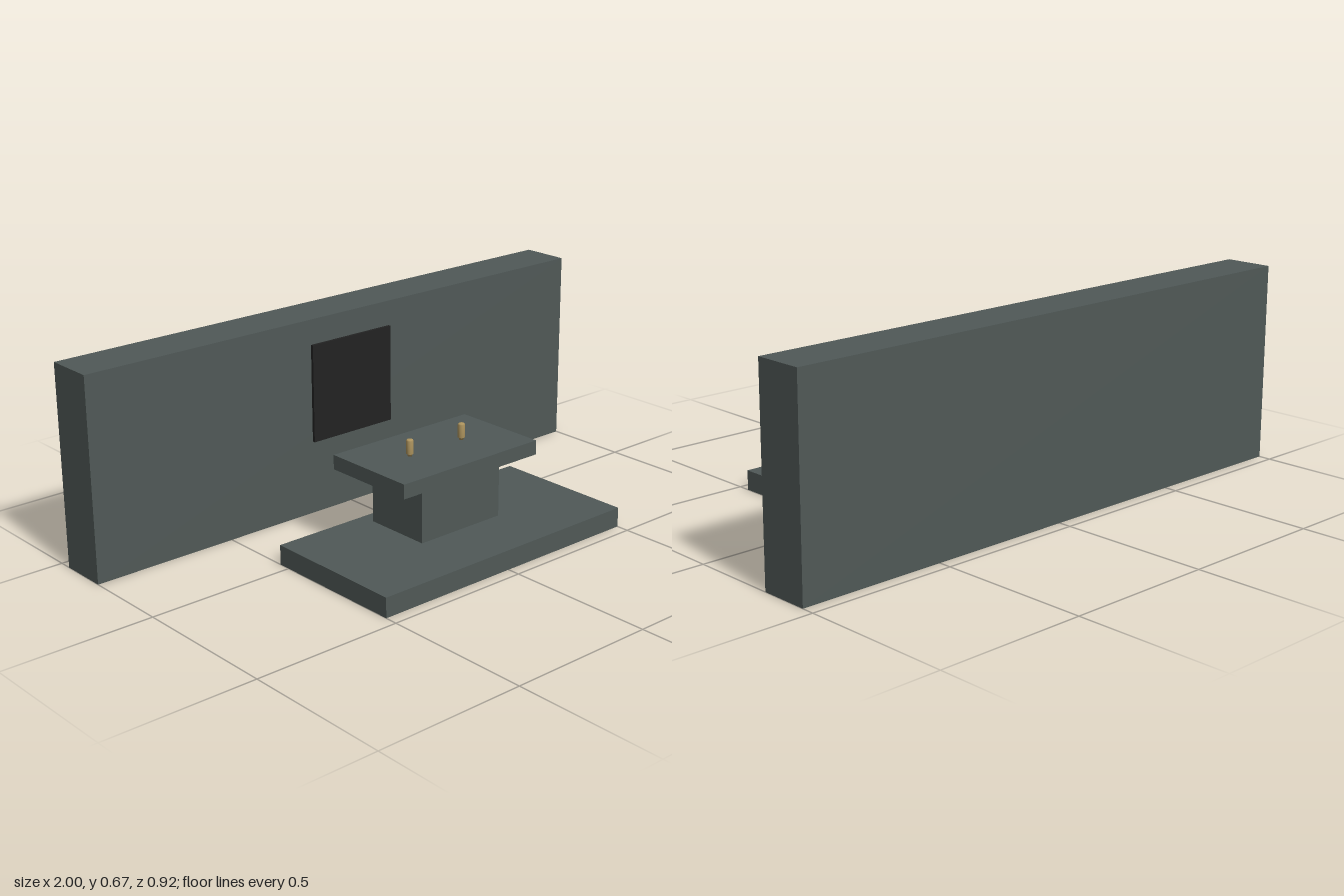
import * as THREE from 'three';

const material = (name, color) => {
  const m = new THREE.MeshStandardMaterial({ color });
  m.name = name;
  return m;
};

export function createModel() {
  const model = new THREE.Group();
  model.name = 'deskAndWall';
  const slate = material('slate', 0x505957);
  const black = material('black', 0x222222);
  const brass = material('brass', 0xb0965f);

  // Box given by its full width and its y and z extents, centred on x
  const block = (name, mat, width, y0, y1, z0, z1) => {
    const mesh = new THREE.Mesh(new THREE.BoxGeometry(width, y1 - y0, z1 - z0), mat);
    mesh.position.set(0, (y0 + y1) / 2, (z0 + z1) / 2);
    mesh.name = name;
    model.add(mesh);
  };

  // Back wall with its panel
  block('backWall', slate, 2, 0, 0.667, -0.458, -0.293);
  block('wallPanel', black, 0.33, 0.253, 0.584, -0.289, -0.279);

  // Stepped table
  block('base', slate, 1, 0, 0.066, -0.04, 0.458);
  block('pedestal', slate, 0.33, 0.066, 0.26, 0.01, 0.243);
  block('tableTop', slate, 0.563, 0.26, 0.308, -0.04, 0.291);

  // Pair of small posts with a narrow foot and bevelled top
  const profile = [[0, 0], [0.007, 0], [0.007, 0.006], [0.012, 0.008], [0.012, 0.051], [0.009, 0.055], [0, 0.055]]
    .map(([r, y]) => new THREE.Vector2(r, y));
  const postShape = new THREE.LatheGeometry(profile, 12);
  for (const side of [-1, 1]) {
    const post = new THREE.Mesh(postShape, brass);
    post.position.set(side * 0.11, 0.308, 0.125);
    post.name = side > 0 ? 'leftPost' : 'rightPost';
    model.add(post);
  }
  return model;
}
